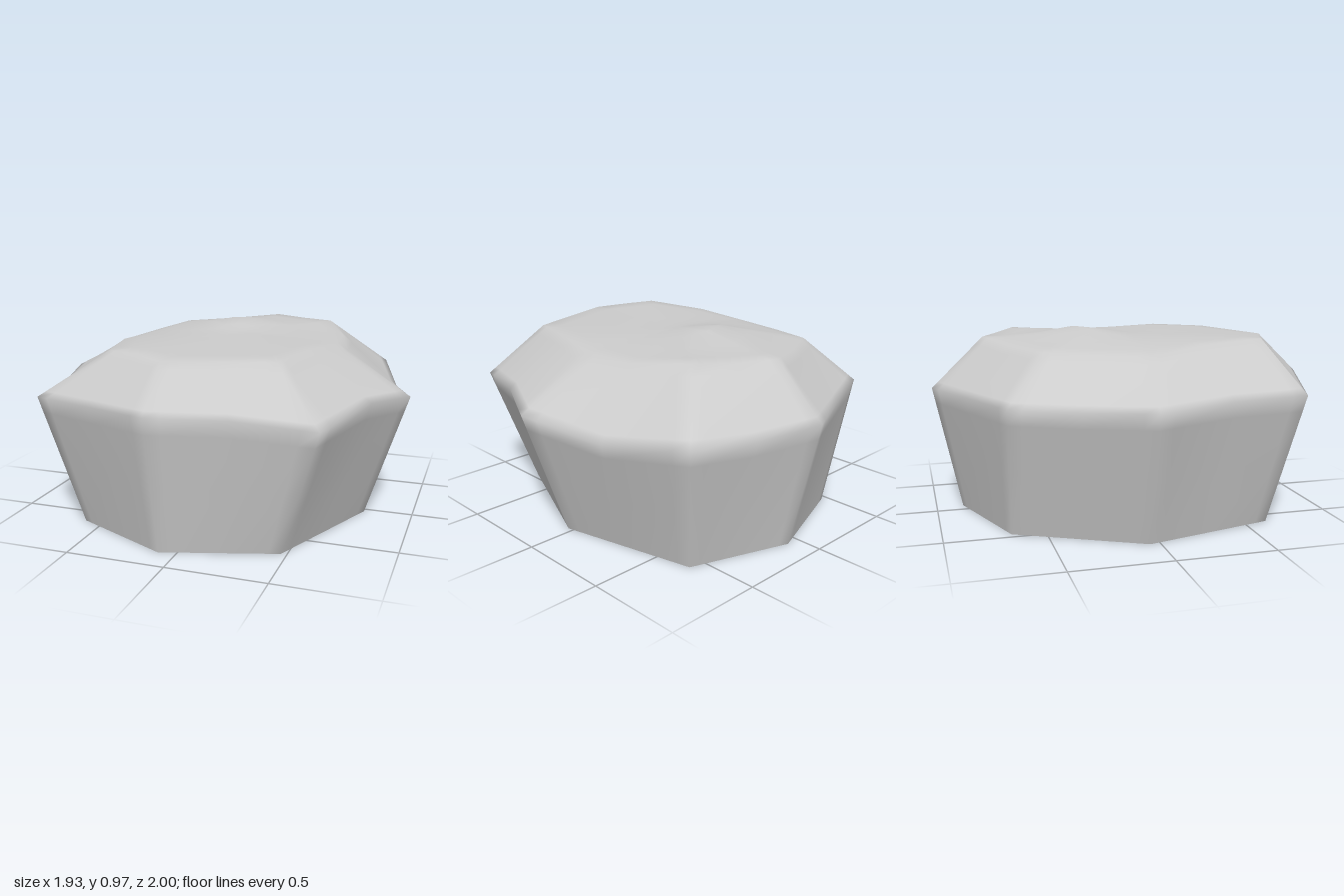
import * as THREE from 'three';

// Eight corners of the open base, starting at +x and turning towards +z
const BASE = [
  [0.75, 0.03], [0.47, 0.69], [-0.09, 0.86], [-0.6, 0.62],
  [-0.77, -0.05], [-0.46, -0.67], [0.07, -0.86], [0.58, -0.68],
];
// Widest outline: corners and edge midpoints in turn
const RIM = [
  [0.965, 0.66, 0.07], [0.82, 0.69, 0.38], [0.67, 0.65, 0.81], [0.28, 0.69, 0.89],
  [-0.09, 0.7, 1.0], [-0.43, 0.69, 0.87], [-0.77, 0.68, 0.74], [-0.83, 0.68, 0.34],
  [-0.97, 0.67, -0.07], [-0.81, 0.66, -0.38], [-0.65, 0.66, -0.7], [-0.3, 0.66, -0.85],
  [0.04, 0.66, -1.0], [0.38, 0.64, -0.9], [0.71, 0.66, -0.81], [0.84, 0.6, -0.37],
];
// Edge of the flat top
const SHOULDER = [
  [0.57, 0.9, 0.05], [0.5, 0.92, 0.35], [0.42, 0.91, 0.63], [0.15, 0.91, 0.71],
  [-0.09, 0.91, 0.78], [-0.25, 0.92, 0.7], [-0.41, 0.92, 0.65], [-0.5, 0.91, 0.3],
  [-0.58, 0.87, 0.0], [-0.52, 0.88, -0.26], [-0.45, 0.89, -0.5], [-0.2, 0.9, -0.63],
  [0.05, 0.92, -0.73], [0.23, 0.92, -0.64], [0.42, 0.93, -0.52], [0.55, 0.9, -0.25],
];

const toVectors = (list) => list.map((p) => new THREE.Vector3(...p));
const blend = (a, b, t) => a.map((p, i) => p.clone().lerp(b[i], t));

// Adds a point beside each corner so the facets stay flat and only their edges round off
function refine(ring) {
  return ring.flatMap((p, i) => {
    const next = ring[(i + 1) % ring.length];
    return [p, p.clone().lerp(next, i % 2 ? 0.8 : 0.2)];
  });
}

// Uneven top with one low hump towards the back
function topHeight(x, z) {
  return 0.925 + 0.05 * Math.exp(-((x + 0.05) ** 2 + (z + 0.25) ** 2) / 0.04);
}

function rockGeometry() {
  const baseCorners = toVectors(BASE.map(([x, z]) => [x, 0, z]));
  const base = refine(baseCorners.flatMap((p, i) =>
    [p, p.clone().lerp(baseCorners[(i + 1) % 8], 0.5)]));
  const rim = refine(toVectors(RIM));
  const shoulder = refine(toVectors(SHOULDER));
  const topRing = (s) => shoulder.map((p) => {
    const x = p.x * s, z = p.z * s;
    return new THREE.Vector3(x, THREE.MathUtils.lerp(topHeight(x, z), p.y, s ** 3), z);
  });

  const rings = [
    base, blend(base, rim, 0.5), blend(base, rim, 0.88), rim,
    blend(rim, shoulder, 0.12), blend(rim, shoulder, 0.85), shoulder,
    topRing(0.85), topRing(0.6), topRing(0.35), topRing(0.15),
  ];
  const n = base.length;
  const points = rings.flat();
  points.push(new THREE.Vector3(0, topHeight(0, 0), 0));

  const index = [];
  for (let i = 0; i < n; i++) {
    const k = (i + 1) % n;
    for (let j = 0; j < rings.length - 1; j++) {
      const a = j * n + i, b = j * n + k;
      index.push(a, a + n, b, b, a + n, b + n);
    }
    const last = (rings.length - 1) * n;
    index.push(last + i, points.length - 1, last + k);
  }
  const geometry = new THREE.BufferGeometry().setFromPoints(points);
  geometry.setIndex(index);
  geometry.computeVertexNormals();
  return geometry;
}

export function createModel() {
  const group = new THREE.Group();
  group.name = 'rock';
  // Hollow shell, open underneath
  const material = new THREE.MeshStandardMaterial({ color: 0xcccccc, side: THREE.DoubleSide });
  const shell = new THREE.Mesh(rockGeometry(), material);
  shell.name = 'rockShell';
  group.add(shell);
  return group;
}
